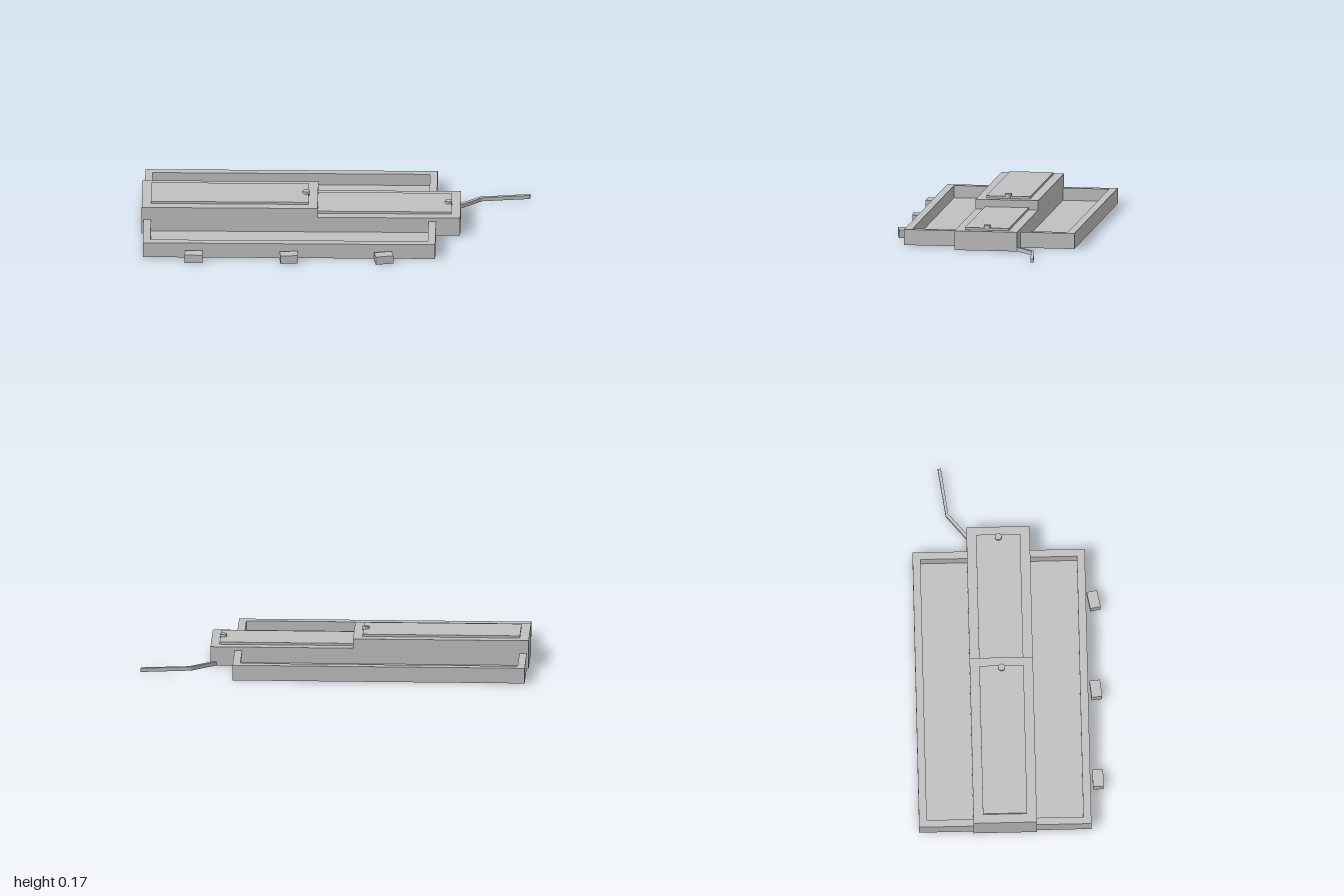
import * as THREE from 'three';

export function createModel() {
  const model = new THREE.Group();
  const grey = new THREE.MeshStandardMaterial({ color: 0xc0c0c0 });
  grey.name = 'plain grey';

  const add = (name, geometry) => {
    const mesh = new THREE.Mesh(geometry, grey);
    mesh.name = name;
    model.add(mesh);
    return mesh;
  };

  // box given by its limits on each axis
  const box = (name, x0, x1, y0, y1, z0, z1) => {
    const mesh = add(name, new THREE.BoxGeometry(x1 - x0, y1 - y0, z1 - z0));
    mesh.position.set((x0 + x1) / 2, (y0 + y1) / 2, (z0 + z1) / 2);
    return mesh;
  };

  const rectangle = (Type, x0, x1, z0, z1) => new Type([
    new THREE.Vector2(x0, -z1), new THREE.Vector2(x1, -z1),
    new THREE.Vector2(x1, -z0), new THREE.Vector2(x0, -z0),
  ]);

  // plan outline raised from y0 to y1
  const slab = (name, shape, y0, y1) => {
    const geometry = new THREE.ExtrudeGeometry(shape, { depth: y1 - y0, bevelEnabled: false });
    geometry.rotateX(-Math.PI / 2);
    geometry.translate(0, y0, 0);
    return add(name, geometry);
  };

  // open tray: floor and surrounding wall
  const rim = rectangle(THREE.Shape, -0.99, 0.52, -0.481, 0.409);
  rim.holes.push(rectangle(THREE.Path, -0.952, 0.481, -0.441, 0.368));
  slab('trayWall', rim, 0, 0.081);
  box('trayFloor', -0.952, 0.481, 0, 0.017, -0.441, 0.368);

  // stepped central block
  box('upperBlock', -1, -0.092, 0, 0.15, -0.2, 0.127);
  box('lowerBlock', -0.092, 0.645, 0, 0.1, -0.2, 0.127);

  // lids with round knobs
  const lids = [
    { name: 'upper', x0: -0.953, x1: -0.14, y: 0.15, knobX: -0.153 },
    { name: 'lower', x0: -0.092, x1: 0.599, y: 0.1, knobX: 0.583 },
  ];
  for (const { name, x0, x1, y, knobX } of lids) {
    box(name + 'Lid', x0, x1, y, y + 0.012, -0.151, 0.078);
    const knob = add(name + 'Knob', new THREE.CylinderGeometry(0.018, 0.018, 0.025, 24));
    knob.position.set(knobX, y + 0.0125, -0.036);
  }

  // stepping blocks along the front, each turned a little more
  [[-0.727, 0], [-0.235, 0.1], [0.255, 0.19]].forEach(([x, turn], i) => {
    const step = add('frontStep' + (i + 1), new THREE.BoxGeometry(0.092, 0.044, 0.055));
    step.position.set(x, 0.022, 0.449);
    step.rotation.y = turn;
  });

  // bent outlet channel
  const outlet = new THREE.Shape([
    [0.607, -0.195], [0.634, -0.195], [0.752, -0.291],
    [1, -0.323], [1, -0.34], [0.741, -0.304],
  ].map(([x, z]) => new THREE.Vector2(x, -z)));
  slab('outletPipe', outlet, 0, 0.02);

  return model;
}
